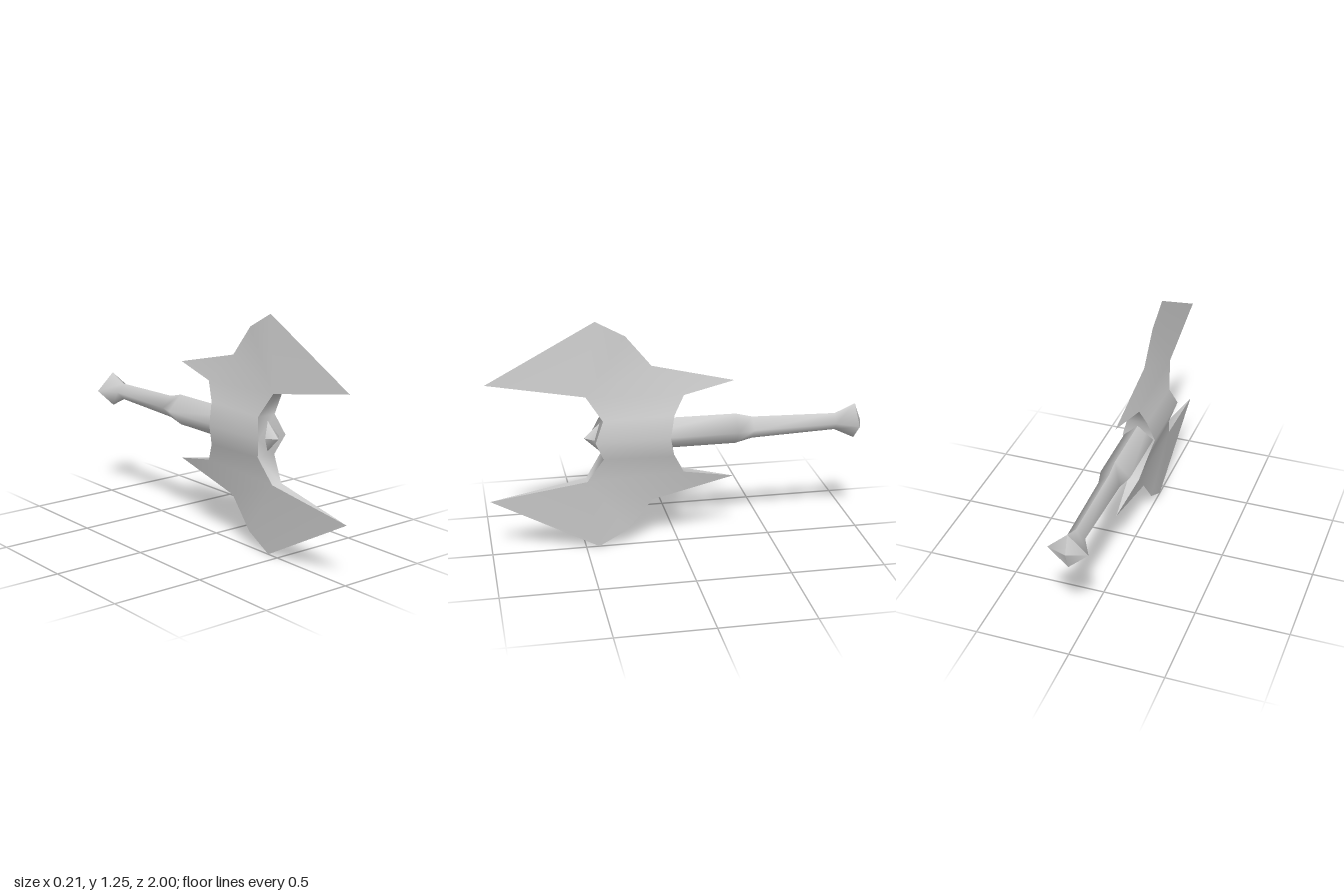
import * as THREE from 'three';
import { mergeVertices } from 'three/addons/utils/BufferGeometryUtils.js';

const MID = 0.625; // height of the handle axis

// Blade outline of the upper half: [half thickness, height above axis, z]
const P = {
  f0: [0.09, 0, 0.45], f1: [0.055, 0.105, 0.405], f2: [0.03, 0.235, 0.49],
  frontTip: [0, 0.32, 1], apex: [0, 0.625, 0.43], mid: [0, 0.54, 0.275],
  shoulder: [0, 0.375, 0.14], backTip: [0, 0.27, -0.3],
  b2: [0.03, 0.215, -0.025], b1: [0.055, 0.115, 0.03], b0: [0.09, 0, 0.055],
};
// Triangles of one quarter of the blade, counter-clockwise from +x
const CHEEK = [
  ['f0', 'b0', 'b1'], ['f0', 'b1', 'f1'], ['f1', 'b1', 'b2'], ['f1', 'b2', 'f2'],
  ['f2', 'b2', 'shoulder'], ['b2', 'backTip', 'shoulder'],
  ['f2', 'shoulder', 'mid'], ['f2', 'mid', 'apex'], ['f2', 'apex', 'frontTip'],
];
const FRONT_RIM = ['f0', 'f1', 'f2', 'frontTip'];
const BACK_RIM = ['b0', 'b1', 'b2', 'backTip'];

const place = (name, sx, sy) => [P[name][0] * sx, MID + P[name][1] * sy, P[name][2]];

function smoothGeometry(triangles) {
  const g = new THREE.BufferGeometry();
  g.setAttribute('position', new THREE.Float32BufferAttribute(triangles.flat(2), 3));
  const merged = mergeVertices(g, 1e-4);
  merged.computeVertexNormals();
  return merged;
}

// One broad side of the blade, both halves
function cheek(sx) {
  const tris = [];
  for (const sy of [1, -1]) {
    for (const t of CHEEK) {
      const tri = t.map((n) => place(n, sx, sy));
      tris.push(sx * sy < 0 ? tri.reverse() : tri);
    }
  }
  return smoothGeometry(tris);
}

// Concave edge strip joining the two broad sides
function rim(names, facing) {
  const tris = [];
  for (const sy of [1, -1]) {
    for (let i = 0; i < names.length - 1; i++) {
      const a = place(names[i], -1, sy), b = place(names[i], 1, sy);
      const c = place(names[i + 1], 1, sy), d = place(names[i + 1], -1, sy);
      const pair = i < names.length - 2 ? [[a, b, c], [a, c, d]] : [[a, b, c]];
      for (const tri of pair) tris.push(sy * facing < 0 ? tri.reverse() : tri);
    }
  }
  return smoothGeometry(tris);
}

// Four-sided loft along z with a seam on top; section: [z, half width, half height, y shift]
function diamondLoft(sections) {
  const pos = [], index = [];
  sections.forEach(([z, rx, ry, dy = 0], j) => {
    for (let i = 0; i <= 4; i++) {
      const a = (i * Math.PI) / 2;
      pos.push(Math.sin(a) * rx, MID + dy + Math.cos(a) * ry, z);
      if (j < sections.length - 1 && i < 4) {
        const k = j * 5 + i;
        index.push(k, k + 1, k + 5, k + 1, k + 6, k + 5);
      }
    }
  });
  const g = new THREE.BufferGeometry();
  g.setAttribute('position', new THREE.Float32BufferAttribute(pos, 3));
  g.setIndex(index);
  g.computeVertexNormals();
  return g;
}

export function createModel() {
  const steel = new THREE.MeshStandardMaterial({ color: 0xcccccc });
  steel.name = 'steel grey';
  const model = new THREE.Group();
  model.name = 'doubleAxe';
  const add = (parent, name, geometry) => {
    const mesh = new THREE.Mesh(geometry, steel);
    mesh.name = name;
    parent.add(mesh);
  };

  // Double blade
  const blade = new THREE.Group();
  blade.name = 'blade';
  add(blade, 'leftBladeSide', cheek(1));
  add(blade, 'rightBladeSide', cheek(-1));
  add(blade, 'frontBladeEdge', rim(FRONT_RIM, 1));
  add(blade, 'backBladeEdge', rim(BACK_RIM, -1));
  model.add(blade);

  // Handle with flared pommel
  const handle = new THREE.Group();
  handle.name = 'handle';
  add(handle, 'handleTip', diamondLoft([[0.5, 0, 0], [0.41, 0.082, 0.085]]));
  add(handle, 'shaft', diamondLoft([
    [0.41, 0.082, 0.085], [-0.31, 0.08, 0.083], [-0.4, 0.057, 0.06],
    [-0.855, 0.046, 0.046, 0.003], [-0.965, 0.105, 0.097],
  ]));
  add(handle, 'pommelCap', diamondLoft([[-0.965, 0.105, 0.097], [-1, 0, 0]]));
  model.add(handle);

  return model;
}
